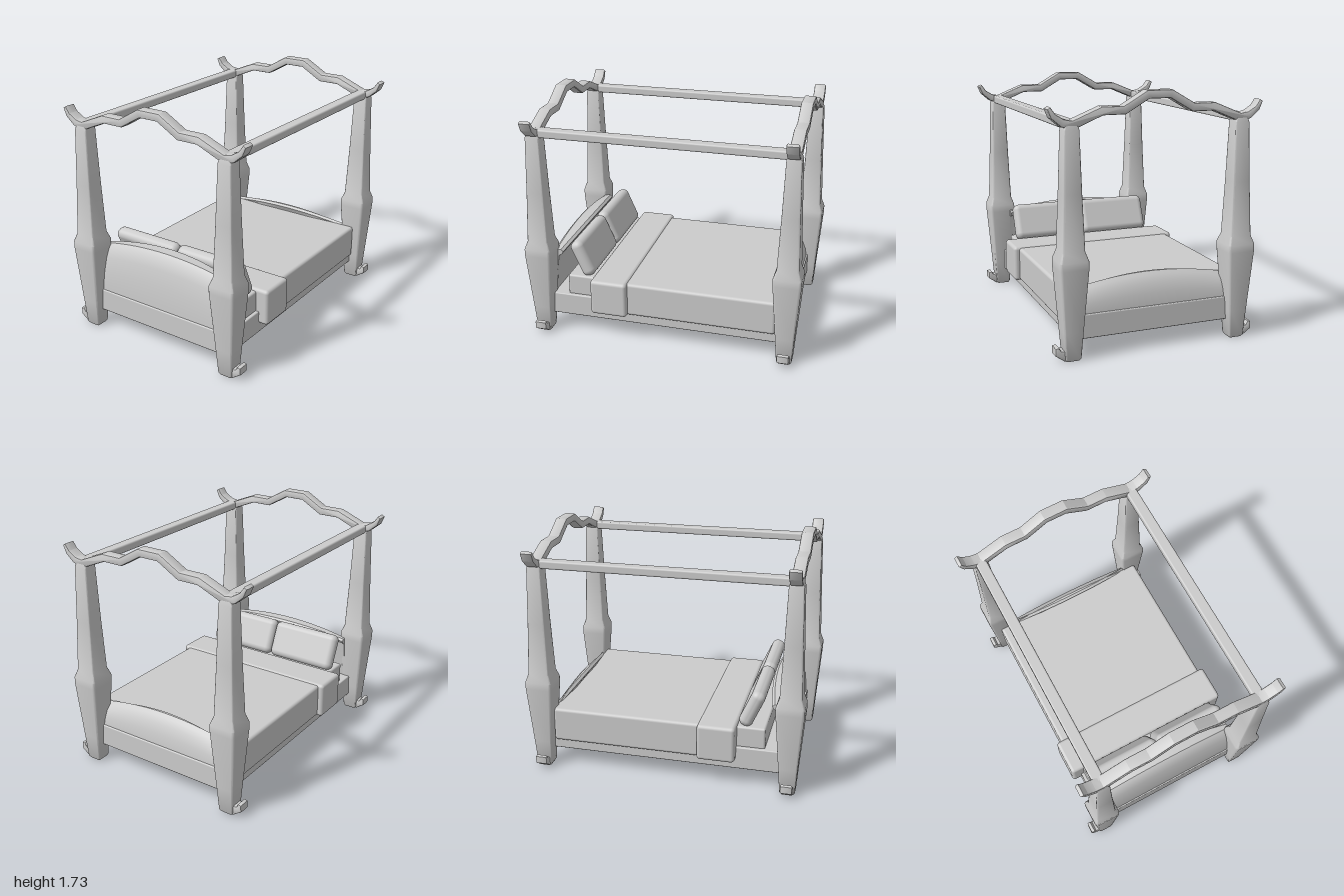
import * as THREE from 'three';
import { toCreasedNormals } from 'three/addons/utils/BufferGeometryUtils.js';
import { RoundedBoxGeometry } from 'three/addons/geometries/RoundedBoxGeometry.js';

const material = new THREE.MeshStandardMaterial({ color: 0xcccccc });

function add(parent, name, geometry, x = 0, y = 0, z = 0) {
  const mesh = new THREE.Mesh(geometry, material);
  mesh.name = name;
  mesh.position.set(x, y, z);
  parent.add(mesh);
  return mesh;
}

// Skin a stack of closed rings of [x, y, z] points and cap both ends
function loft(rings, crease = 0.6) {
  const n = rings[0].length;
  const index = [];
  for (let i = 0; i < rings.length - 1; i++) {
    for (let j = 0; j < n; j++) {
      const k = (j + 1) % n;
      const a = i * n + j, b = i * n + k, c = b + n, d = a + n;
      index.push(a, d, c, a, c, b);
    }
  }
  const last = (rings.length - 1) * n;
  for (let j = 1; j < n - 1; j++) {
    index.push(0, j, j + 1, last, last + j + 1, last + j);
  }
  const g = new THREE.BufferGeometry();
  g.setAttribute('position', new THREE.Float32BufferAttribute(rings.flat(2), 3));
  g.setIndex(index);
  return toCreasedNormals(g, crease);
}

// Square ring with rounded corners at height y
function squareRing(y, half) {
  const r = half * 0.2, ring = [];
  for (let c = 0; c < 4; c++) {
    const mid = (c + 0.5) * Math.PI / 2;
    const cx = Math.sign(Math.cos(mid)) * (half - r);
    const cz = Math.sign(Math.sin(mid)) * (half - r);
    for (let s = 0; s < 4; s++) {
      const a = (c + s / 3) * Math.PI / 2;
      ring.push([cx + r * Math.cos(a), y, cz + r * Math.sin(a)]);
    }
  }
  return ring;
}

// Mitred strip along a path of [x, y, halfThickness], extruded in z with a bevel
function ribbon(path, depth, bevel = 0.01) {
  const upper = [], lower = [];
  path.forEach(([x, y, w], i) => {
    const p = new THREE.Vector2(x, y);
    const prev = path[Math.max(i - 1, 0)], next = path[Math.min(i + 1, path.length - 1)];
    const d1 = p.clone().sub(new THREE.Vector2(prev[0], prev[1])).normalize();
    const d2 = new THREE.Vector2(next[0], next[1]).sub(p).normalize();
    const dir = d1.clone().add(d2).normalize();
    const ref = d2.lengthSq() > 0 ? d2 : d1;
    const normal = new THREE.Vector2(-dir.y, dir.x).multiplyScalar(w / dir.dot(ref));
    upper.push(p.clone().add(normal));
    lower.unshift(p.clone().sub(normal));
  });
  const g = new THREE.ExtrudeGeometry(new THREE.Shape([...lower, ...upper]), {
    depth: depth - 2 * bevel, bevelThickness: bevel, bevelSize: bevel,
    bevelOffset: -bevel, bevelSegments: 2,
  });
  g.translate(0, 0, bevel - depth / 2);
  return toCreasedNormals(g, 0.5);
}

// Arched end board that leans inward into a thick overhanging crest
function endBoard(crest, lip) {
  const rings = [], base = 0.25, steps = 20;
  for (let i = 0; i <= steps; i++) {
    const x = -0.54 + 1.08 * i / steps;
    const t = (x / 0.5) ** 2;
    const h = crest - 0.05 * t, zi = lip + 0.04 * t;
    const y = (f) => base + f * (h - base);
    rings.push([
      [0.828, h - 0.022], [0.805, h], [zi + 0.018, h], [zi, h - 0.015],
      [zi + 0.01, h - 0.035], [0.79, h - 0.05], [0.815, y(0.45)], [0.83, base],
      [0.89, base], [0.888, y(0.2)], [0.878, y(0.48)], [0.857, y(0.75)],
    ].map(([z, py]) => [x, py, z]));
  }
  return loft(rings);
}

export function createModel() {
  const root = new THREE.Group();
  root.name = 'canopyBed';
  const bed = new THREE.Group();
  bed.name = 'bed';
  bed.rotation.y = 0.016;
  root.add(bed);

  const px = 0.595, pz = 0.895;

  // Four tapered posts with outward curled feet
  const postGeo = loft([
    [0, 0.045], [0.015, 0.054], [0.2, 0.067], [0.62, 0.098], [0.67, 0.098],
    [0.73, 0.077], [1.1, 0.063], [1.5, 0.051], [1.545, 0.036],
  ].map(([y, half]) => squareRing(y, half)));
  const toeGeo = ribbon([
    [-0.01, 0.045, 0.036], [0.05, 0.037, 0.034], [0.1, 0.062, 0.022], [0.107, 0.1, 0.012],
  ], 0.085);
  for (const sx of [-1, 1]) {
    for (const sz of [-1, 1]) {
      add(bed, 'post', postGeo, sx * px, 0, sz * pz);
      const toe = add(bed, 'foot', toeGeo, sx * px, 0, sz * pz);
      if (sx < 0) toe.rotation.y = Math.PI;
    }
  }

  // Wavy canopy arches ending in upturned horns
  const half = [
    [0.08, 1.7, 0.027], [0.24, 1.608, 0.027], [0.39, 1.608, 0.027], [0.585, 1.528, 0.028],
    [0.65, 1.543, 0.025], [0.71, 1.587, 0.019], [0.738, 1.638, 0.013],
  ];
  const archGeo = ribbon([...half.map(([x, y, w]) => [-x, y, w]).reverse(), ...half], 0.085);
  for (const s of [-1, 1]) {
    add(bed, 'canopyArch', archGeo, 0, 0, s * pz);
    add(bed, 'canopySideRail', new RoundedBoxGeometry(0.08, 0.058, 1.78, 2, 0.012), s * px, 1.53, 0);
  }

  // Frame and end boards
  add(bed, 'frame', new RoundedBoxGeometry(1.17, 0.165, 1.8, 2, 0.008), 0, 0.2075, 0);
  add(bed, 'headboard', endBoard(0.685, 0.71));
  add(bed, 'footboard', endBoard(0.505, 0.77)).rotation.y = Math.PI;

  // Bedding
  add(bed, 'mattress', new RoundedBoxGeometry(1.12, 0.16, 1.52, 3, 0.015), 0, 0.36, -0.04);
  add(bed, 'blanket', new RoundedBoxGeometry(1.23, 0.25, 1.33, 4, 0.022), 0, 0.325, -0.155);
  add(bed, 'blanketFold', new RoundedBoxGeometry(1.31, 0.265, 0.27, 4, 0.025), 0, 0.328, 0.385);
  for (const s of [-1, 1]) {
    const pillow = add(bed, 'pillow', new RoundedBoxGeometry(0.55, 0.28, 0.1, 5, 0.045), s * 0.277, 0.565, 0.615);
    pillow.rotation.x = 0.42;
  }
  return root;
}
